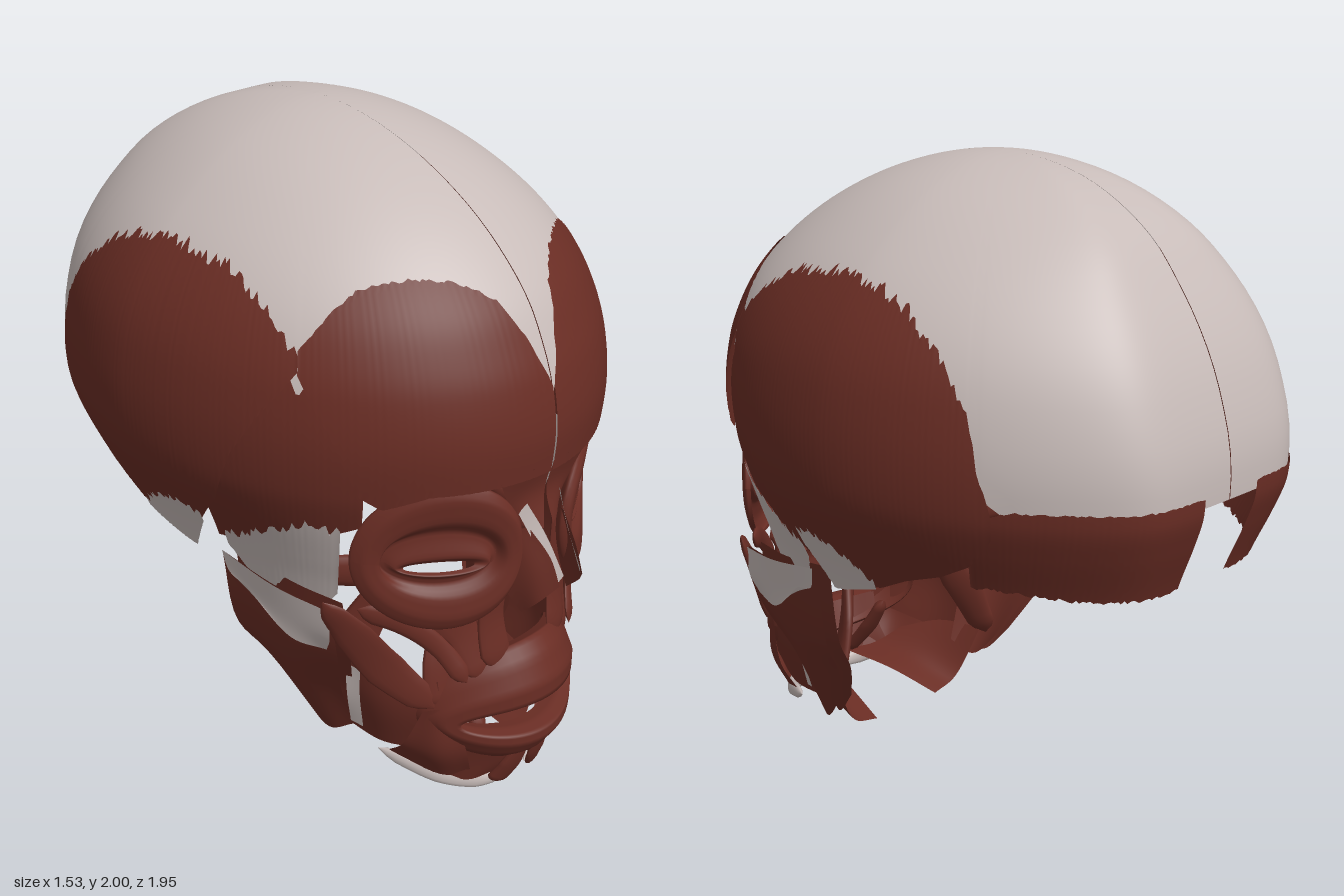
import * as THREE from 'three';

const muscle = new THREE.MeshStandardMaterial({ color: 0x6a2d24, side: THREE.DoubleSide });
const tendon = new THREE.MeshStandardMaterial({ color: 0xc8bcb9, side: THREE.DoubleSide });
const V = (p) => new THREE.Vector3(p[0], p[1], p[2]);
const hash = (n) => { const s = Math.sin(n * 127.1 + 3.7) * 43758.5453; return s - Math.floor(s); };

// Linear lookup of column c in a table sorted by its first column
function lookup(table, key, c) {
  let i = 0;
  while (i < table.length - 2 && key > table[i + 1][0]) i++;
  const a = table[i], b = table[i + 1];
  const t = THREE.MathUtils.clamp((key - a[0]) / (b[0] - a[0]), 0, 1);
  return a[c] + (b[c] - a[c]) * t;
}

// Grid surface from a rule f(u, v) -> Vector3
function surface(nu, nv, f) {
  const pos = [], idx = [];
  for (let j = 0; j <= nv; j++) for (let i = 0; i <= nu; i++) pos.push(...f(i / nu, j / nv).toArray());
  for (let j = 0; j < nv; j++) for (let i = 0; i < nu; i++) {
    const a = j * (nu + 1) + i, c = a + nu + 1;
    idx.push(a, a + 1, c, a + 1, c + 1, c);
  }
  const g = new THREE.BufferGeometry();
  g.setAttribute('position', new THREE.Float32BufferAttribute(pos, 3));
  g.setIndex(idx);
  g.computeVertexNormals();
  return g;
}

function mirrored(geo) {
  const g = geo.clone().scale(-1, 1, 1), ix = g.index.array;
  for (let i = 0; i < ix.length; i += 3) [ix[i], ix[i + 1]] = [ix[i + 1], ix[i]];
  g.computeVertexNormals();
  return g;
}

// Skull cap: height, half width, front depth, back depth (about z = -0.1)
const CAP = [
  [0.5, 0.52, 0.9, 0.7], [0.75, 0.6, 0.93, 0.75], [0.85, 0.64, 0.95, 0.78], [1, 0.71, 0.96, 0.84],
  [1.1, 0.745, 0.97, 0.87], [1.25, 0.757, 0.98, 0.865], [1.4, 0.742, 0.955, 0.825], [1.5, 0.715, 0.915, 0.785],
  [1.6, 0.665, 0.86, 0.73], [1.7, 0.59, 0.77, 0.66], [1.8, 0.485, 0.645, 0.575], [1.9, 0.345, 0.46, 0.43],
  [1.96, 0.215, 0.29, 0.285], [2, 0, 0, 0]];
const capKeys = CAP.map((r) => [-Math.sqrt(2 - r[0]), r[1], r[2], r[3]]);

// Smooth lookup in the square root of the drop from the crown
function capSize(y, c) {
  const k = -Math.sqrt(Math.max(0, 2 - y)), T = capKeys, n = T.length;
  let i = 0;
  while (i < n - 2 && k > T[i + 1][0]) i++;
  const slope = (j) => {
    const a = T[Math.max(0, j - 1)], b = T[Math.min(n - 1, j + 1)];
    return (b[c] - a[c]) / (b[0] - a[0]);
  };
  const h = T[i + 1][0] - T[i][0], t = (k - T[i][0]) / h, t2 = t * t, t3 = t2 * t;
  return (2 * t3 - 3 * t2 + 1) * T[i][c] + (t3 - 2 * t2 + t) * h * slope(i)
    + (3 * t2 - 2 * t3) * T[i + 1][c] + (t3 - t2) * h * slope(i + 1);
}

// Rounded front, tapering back to a softly flattened end
function capPoint(deg, y, off) {
  const a = THREE.MathUtils.degToRad(deg), s = Math.sin(a), c = Math.cos(a);
  const w = Math.max(1e-4, capSize(y, 1));
  const back = Math.max(1e-4, capSize(y, 3));
  const d = c > 0 ? Math.max(1e-4, capSize(y, 2)) : back * 1.15;
  const n = c > 0 ? 2 : 1.72;
  const r = Math.pow(Math.pow(Math.abs(s) / w, n) + Math.pow(Math.abs(c) / d, n), -1 / n);
  const k = 0.04 * back;
  const z = c > 0 ? c * r : k * Math.log(1 + Math.exp((c * r + back) / k)) - back;
  return new THREE.Vector3(s * (r + off), y, -0.1 + z + c * off);
}

// Sheet lying on the skull cap; rows are [azimuth, low edge, high edge]
function capSheet(rows, off, ragLow = 0, ragHigh = 0) {
  const a0 = rows[0][0], a1 = rows[rows.length - 1][0], nu = Math.ceil((a1 - a0) / 0.7);
  return surface(nu, 26, (u, v) => {
    const az = a0 + (a1 - a0) * u, n = Math.round(u * nu);
    const low = lookup(rows, az, 1) - ragLow * hash(n);
    const high = Math.min(2, lookup(rows, az, 2) + ragHigh * (hash(n + 500) - 0.3));
    const top = Math.sqrt(2 - high), bottom = Math.sqrt(2 - low);
    const k = bottom + (top - bottom) * v;
    const fibre = off ? 0.001 * Math.sin(az * 4) : 0;
    return capPoint(az, 2 - k * k, off + fibre);
  });
}

// Flat muscle belly along a path of [x, y, z, width]
function strap(path, thick = 0.025) {
  const curve = new THREE.CatmullRomCurve3(path.map(V));
  const n = path.length - 1;
  return surface(12, 18, (u, v) => {
    const p = curve.getPoint(v), tan = curve.getTangent(v);
    const out = new THREE.Vector3(p.x, 0, p.z - 0.2).normalize();
    const side = new THREE.Vector3().crossVectors(tan, out).normalize();
    out.crossVectors(side, tan).normalize();
    const w = lookup(path.map((q, i) => [i / n, q[3]]), v, 1) / 2;
    const end = Math.min(1, Math.sqrt(Math.min(v, 1 - v) * 9)), a = u * Math.PI * 2;
    return p.addScaledVector(side, Math.cos(a) * w * end).addScaledVector(out, Math.sin(a) * thick / 2 * end);
  });
}

// Smooth sheet through rows of points
function sheet(rows) {
  const curves = rows.map((r) => new THREE.CatmullRomCurve3(r.map(V)));
  return surface(14, 14, (u, v) => new THREE.CatmullRomCurve3(curves.map((c) => c.getPoint(u))).getPoint(v));
}

// Ring muscle through closed profiles [rx, up, down, centre y, z]
function ring(loops, cx, bend) {
  const path = (c) => loops.map((l, i) => [i / (loops.length - 1), l[c]]);
  const cols = [0, 1, 2, 3, 4].map(path);
  return surface(56, 24, (u, v) => {
    const a = u * Math.PI * 2, [rx, up, dn, cy, z] = cols.map((t) => lookup(t, v, 1));
    const x = cx + rx * Math.cos(a), s = Math.sin(a);
    return new THREE.Vector3(x, cy + s * (s > 0 ? up : dn), z - bend(x));
  });
}

export function createModel() {
  const model = new THREE.Group();
  const add = (name, mat, geo, pair = true) => {
    const m = new THREE.Mesh(geo, mat);
    m.name = pair ? name + 'Left' : name;
    model.add(m);
    if (!pair) return;
    const r = new THREE.Mesh(mirrored(geo), mat);
    r.name = name + 'Right';
    model.add(r);
  };

  // Scalp: pale sheet over the crown, with forehead, side and rear muscles round its rim
  add('scalpTendon', tendon, capSheet([[0.1, 1.36, 2], [3.5, 1.48, 2], [7, 1.58, 2], [15, 1.64, 2], [23, 1.67, 2],
    [31, 1.66, 2], [38, 1.58, 2], [46, 1.4, 2], [50, 1.53, 2], [55, 1.59, 2], [80, 1.66, 2], [109, 1.62, 2],
    [119, 1.5, 2], [126, 1.35, 2], [129, 1.17, 2], [135, 1.11, 2], [179.9, 1.11, 2]], 0));
  add('foreheadMuscle', muscle, capSheet([[0.2, 1.12, 1.38], [3.5, 1.12, 1.52], [7, 1.12, 1.62], [11, 1.12, 1.66],
    [15, 1.12, 1.68], [23, 1.12, 1.69], [31, 1.08, 1.68], [35, 1.12, 1.66], [40, 1.3, 1.61], [46, 1.46, 1.52]], 0.006, 0, 0.008));
  add('sideFanMuscle', muscle, capSheet([[46, 1.47, 1.5], [54, 1.33, 1.61], [60, 1.2, 1.66], [65, 1.02, 1.68],
    [73, 0.88, 1.69], [79, 0.75, 1.7], [88, 0.775, 1.7], [100, 0.81, 1.68], [109, 0.86, 1.64], [119, 0.9, 1.54],
    [126, 0.95, 1.4], [129, 1, 1.2], [131, 1.05, 1.12]], 0.008, 0, 0.035));
  add('sideFanTendon', tendon, capSheet([[72, 0.88, 0.91], [79, 0.74, 0.93], [85, 0.755, 0.92], [92, 0.78, 0.87],
    [98, 0.8, 0.82]], 0.012, 0, 0.03));
  add('rearScalpMuscle', muscle, capSheet([[126, 0.88, 1.1], [135, 0.88, 1.14], [150, 0.86, 1.14], [173, 0.85, 1.14]], 0.005, 0.012, 0.006));
  add('templeMuscle', muscle, capSheet([[34, 1.0, 1.1], [38, 0.97, 1.3], [42, 0.95, 1.41], [46, 0.94, 1.48], [52, 0.92, 1.42],
    [60, 0.84, 1.3], [70, 0.82, 1.1]], -0.012));
  add('templeTendon', tendon, capSheet([[38, 0.72, 0.97], [45, 0.56, 0.98], [52, 0.62, 0.94], [60, 0.68, 0.87],
    [67, 0.8, 0.85]], -0.004, 0, 0.04));

  // Eye rings with lids, and the small muscles behind
  add('eyeRing', muscle, ring([[0.195, 0.23, 0.23, 0.895, 0.83], [0.21, 0.24, 0.24, 0.895, 0.855], [0.19, 0.2, 0.19, 0.89, 0.875],
    [0.15, 0.13, 0.12, 0.885, 0.865], [0.14, 0.09, 0.085, 0.885, 0.83], [0.125, 0.065, 0.06, 0.88, 0.835],
    [0.11, 0.03, 0.03, 0.865, 0.85], [0.085, 0.016, 0.018, 0.858, 0.83]],
  0.29, (x) => 0.28 * Math.pow(Math.max(0, (x - 0.09) / 0.41), 1.5)));
  for (const [dx, dy] of [[0, 0.08], [0, -0.07], [0.05, 0.01], [-0.07, 0.01]])
    add('eyeMover', muscle, strap([[0.13, 0.9, 0.32, 0.03], [0.19 + dx, 0.89 + dy, 0.46, 0.06], [0.24 + dx, 0.89 + dy, 0.6, 0.05]], 0.015));

  // Brow and nose
  add('innerBrowMuscle', muscle, sheet([[[0.004, 1.15, 0.88], [0.08, 1.15, 0.875], [0.18, 1.13, 0.85]],
    [[0.004, 1.05, 0.86], [0.07, 1.05, 0.85], [0.13, 1.04, 0.835]], [[0.02, 0.94, 0.88], [0.06, 0.95, 0.86], [0.1, 0.97, 0.825]]]));
  add('noseTendon', tendon, sheet([[[0.07, 1.03, 0.855], [0.045, 0.94, 0.91], [0.035, 0.83, 0.975]],
    [[0.09, 1, 0.84], [0.07, 0.9, 0.9], [0.06, 0.79, 0.96]]]));
  add('noseSideMuscle', muscle, sheet([[[0.075, 0.96, 0.87], [0.055, 0.88, 0.94], [0.05, 0.8, 0.975]],
    [[0.1, 0.94, 0.83], [0.095, 0.83, 0.9], [0.09, 0.74, 0.93]], [[0.12, 0.87, 0.8], [0.12, 0.76, 0.83], [0.1, 0.69, 0.88]]]));

  // Cheek straps running to the mouth
  add('noseLipLifter', muscle, strap([[0.11, 1.0, 0.82, 0.05], [0.13, 0.8, 0.81, 0.09], [0.14, 0.65, 0.8, 0.09], [0.13, 0.48, 0.83, 0.11]]));
  add('upperLipLifter', muscle, strap([[0.27, 0.7, 0.72, 0.14], [0.21, 0.6, 0.76, 0.1], [0.18, 0.46, 0.81, 0.08]], 0.02));
  add('smallCheekMuscle', muscle, strap([[0.47, 0.72, 0.58, 0.07], [0.36, 0.66, 0.68, 0.07], [0.28, 0.57, 0.74, 0.06], [0.23, 0.46, 0.8, 0.06]]));
  add('largeCheekMuscle', muscle, strap([[0.56, 0.76, 0.53, 0.06], [0.48, 0.63, 0.58, 0.12], [0.4, 0.5, 0.63, 0.13], [0.29, 0.36, 0.73, 0.08]]));
  add('mouthCornerLifter', muscle, strap([[0.21, 0.64, 0.68, 0.09], [0.26, 0.5, 0.71, 0.1], [0.28, 0.36, 0.73, 0.08]]));

  // Mouth ring
  add('mouthRing', muscle, ring([[0.29, 0.19, 0.17, 0.33, 0.8], [0.315, 0.225, 0.2, 0.325, 0.85], [0.31, 0.18, 0.16, 0.32, 0.89],
    [0.29, 0.11, 0.1, 0.315, 0.925], [0.25, 0.055, 0.058, 0.31, 0.925], [0.23, 0.05, 0.05, 0.31, 0.88], [0.235, 0.06, 0.055, 0.31, 0.84]],
  0, (x) => 2 * x * x), false);

  // Cheek wall, chewing muscle and its tendon
  add('cheekWall', muscle, sheet([[[0.28, 0.45, 0.73], [0.36, 0.45, 0.55], [0.36, 0.5, 0.36]],
    [[0.28, 0.32, 0.74], [0.36, 0.32, 0.56], [0.37, 0.34, 0.38]], [[0.27, 0.2, 0.73], [0.33, 0.16, 0.56], [0.34, 0.16, 0.4]]]));
  add('cheekTendon', tendon, sheet([[[0.38, 0.42, 0.5], [0.395, 0.43, 0.45]], [[0.37, 0.31, 0.49], [0.385, 0.3, 0.45]],
    [[0.345, 0.18, 0.48], [0.36, 0.19, 0.44]]]));
  const jawRows = [[[0.53, 0.72, 0.53], [0.57, 0.73, 0.35], [0.59, 0.76, 0.12]], [[0.5, 0.54, 0.53], [0.54, 0.52, 0.33], [0.55, 0.5, 0.13]],
    [[0.42, 0.35, 0.46], [0.47, 0.33, 0.32], [0.47, 0.37, 0.17]], [[0.34, 0.16, 0.43], [0.37, 0.12, 0.35], [0.4, 0.22, 0.25]]];
  add('chewingMuscle', muscle, sheet(jawRows));
  add('chewingMuscleDeep', muscle, sheet(jawRows.map((r) => r.map(([x, y, z]) => [x - 0.05, y, z]))));
  add('chewingTendon', tendon, sheet([[[0.54, 0.72, 0.53], [0.58, 0.735, 0.35], [0.6, 0.77, 0.13]],
    [[0.53, 0.62, 0.53], [0.565, 0.64, 0.34], [0.59, 0.7, 0.15]], [[0.515, 0.56, 0.5], [0.55, 0.56, 0.38], [0.585, 0.68, 0.22]]]));
  add('innerJawMuscle', muscle, strap([[0.2, 0.6, 0.42, 0.1], [0.27, 0.42, 0.36, 0.14], [0.36, 0.2, 0.32, 0.1]], 0.04));
  add('jawHingeMuscle', muscle, strap([[0.2, 0.68, 0.46, 0.12], [0.33, 0.68, 0.34, 0.11], [0.48, 0.7, 0.2, 0.05]], 0.04));

  // Chin and floor of the mouth
  add('mouthCornerPuller', muscle, sheet([[[0.25, 0.36, 0.78], [0.29, 0.36, 0.74], [0.31, 0.34, 0.7]],
    [[0.22, 0.2, 0.8], [0.29, 0.2, 0.74], [0.33, 0.2, 0.64]], [[0.16, 0.06, 0.77], [0.24, 0.07, 0.71], [0.32, 0.13, 0.57]]]));
  add('lowerLipPuller', muscle, sheet([[[0.04, 0.24, 0.89], [0.14, 0.24, 0.86], [0.24, 0.26, 0.79]],
    [[0.06, 0.13, 0.85], [0.15, 0.13, 0.81], [0.23, 0.16, 0.76]], [[0.1, 0.06, 0.8], [0.17, 0.05, 0.77], [0.24, 0.07, 0.71]]]));
  add('chinMuscle', muscle, strap([[0.04, 0.2, 0.87, 0.06], [0.06, 0.1, 0.84, 0.09], [0.09, 0.02, 0.8, 0.08]], 0.03));
  add('chinTendon', tendon, strap([[0.05, 0.02, 0.8, 0.03], [0.14, 0.035, 0.77, 0.06], [0.24, 0.07, 0.7, 0.06], [0.33, 0.12, 0.53, 0.04]]));
  add('mouthFloor', muscle, sheet([[[0.05, 0.1, 0.75], [0.1, 0.07, 0.55], [0.14, 0.02, 0.36]],
    [[0.16, 0.1, 0.71], [0.21, 0.09, 0.53], [0.24, 0.05, 0.36]], [[0.26, 0.15, 0.66], [0.32, 0.2, 0.52], [0.34, 0.22, 0.33]]]));
  add('tongueMuscle', muscle, strap([[-0.03, 0.12, 0.7, 0.05], [-0.045, 0.24, 0.6, 0.07], [-0.045, 0.36, 0.52, 0.04]], 0.04), false);
  return model;
}
